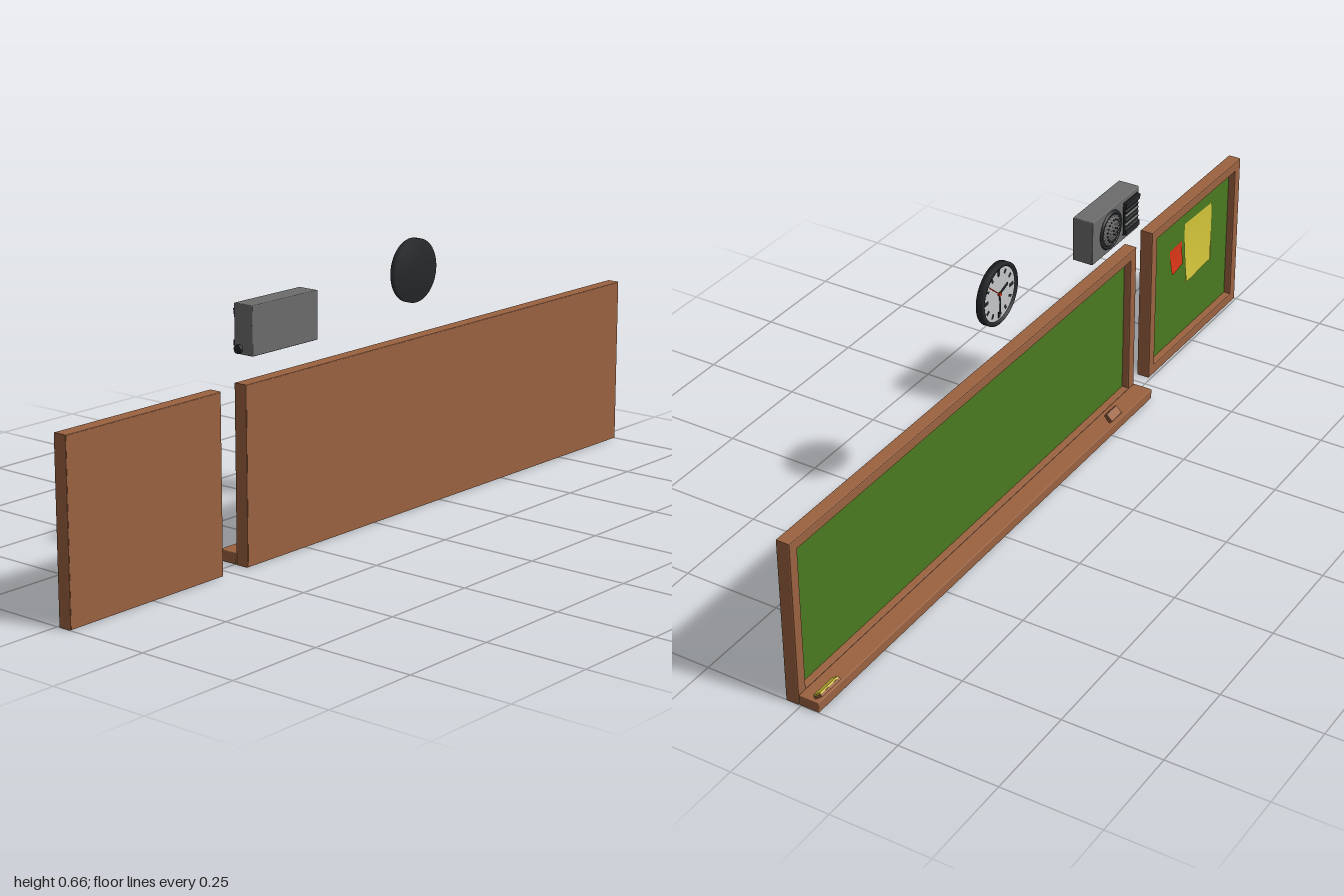
import * as THREE from 'three';
import { RoundedBoxGeometry } from 'three/addons/geometries/RoundedBoxGeometry.js';

const mat = (name, color, side = THREE.FrontSide) => {
  const m = new THREE.MeshStandardMaterial({ color, side });
  m.name = name;
  return m;
};

export function createModel() {
  const wood = mat('wood', 0x9a6240);
  const green = mat('boardGreen', 0x4a7a20);
  const grey = mat('caseGrey', 0x6c6c6c);
  const dark = mat('darkPlastic', 0x26282a);
  const pale = mat('paleFace', 0xc4c6c8);
  const red = mat('red', 0xd83516, THREE.DoubleSide);
  const yellow = mat('paperYellow', 0xd2c43a, THREE.DoubleSide);

  const model = new THREE.Group();
  const add = (parent, name, geometry, material, x = 0, y = 0, z = 0) => {
    const mesh = new THREE.Mesh(geometry, material);
    mesh.name = name;
    mesh.position.set(x, y, z);
    parent.add(mesh);
    return mesh;
  };
  const group = (name, x = 0, y = 0, z = 0) => {
    const g = new THREE.Group();
    g.name = name;
    g.position.set(x, y, z);
    model.add(g);
    return g;
  };
  const box = (w, h, d) => new THREE.BoxGeometry(w, h, d);
  const disc = (r, d, n = 40) => new THREE.CylinderGeometry(r, r, d, n).rotateX(Math.PI / 2);

  // Framed boards; the writing side faces -z
  const H = 0.424, BORDER = 0.027;
  function board(name, x0, x1) {
    const w = x1 - x0, g = group(name, (x0 + x1) / 2, H / 2, 0);
    const rect = (P, hw, hh) => new P([[-hw, -hh], [hw, -hh], [hw, hh], [-hw, hh]].map(p => new THREE.Vector2(...p)));
    const shape = rect(THREE.Shape, w / 2, H / 2);
    shape.holes.push(rect(THREE.Path, w / 2 - BORDER, H / 2 - BORDER));
    const b = 0.003;
    const frame = new THREE.ExtrudeGeometry(shape, {
      depth: 0.035 - 2 * b, bevelThickness: b, bevelSize: b, bevelOffset: -b, bevelSegments: 2,
    });
    add(g, 'frame', frame, wood, 0, 0, 0.005 + b);
    add(g, 'backing', box(w - 0.004, H - 0.004, 0.01), wood, 0, 0, 0.0352);
    add(g, 'writingSurface', box(w - 2 * BORDER, H - 2 * BORDER, 0.006), green, 0, 0, 0.027);
    return g;
  }
  board('largeBoard', -0.45, 1);
  board('noticeBoard', -1, -0.53);

  // Ledge under the large board
  add(model, 'tray', new RoundedBoxGeometry(1.45, 0.027, 0.052, 2, 0.002), wood, 0.275, 0.0135, -0.021);

  // Tilted erasers resting on the ledge
  function eraser(name, x, z, width, tilt, pad) {
    const g = group(name, x, 0.0375, z);
    g.rotation.x = tilt;
    add(g, 'eraserBlock', box(width, 0.006, 0.024), wood, 0, -0.002, 0);
    add(g, 'eraserPad', box(width * 0.96, 0.004, 0.022), pad, 0, 0.003, 0);
  }
  eraser('leftEraser', 0.957, -0.039, 0.07, 0.65, yellow);
  eraser('rightEraser', -0.285, -0.029, 0.05, -0.8, wood);

  // Pinned papers with gently curled lower edges
  function paper(name, material, x, y, w, h, curl, tilt) {
    const geo = new THREE.PlaneGeometry(w, h, 6, 8).rotateY(Math.PI);
    const p = geo.attributes.position;
    for (let i = 0; i < p.count; i++) {
      const t = 0.5 - p.getY(i) / h;
      p.setZ(i, -curl * t * t * (1 + 0.5 * Math.sin(p.getX(i) / w * 3)));
    }
    geo.computeVertexNormals();
    add(model, name, geo, material, x, y, 0.0225).rotation.z = tilt;
  }
  paper('yellowPaper', yellow, -0.802, 0.265, 0.142, 0.165, 0.008, 0.03);
  paper('yellowPaperUnderlay', yellow, -0.81, 0.257, 0.14, 0.16, 0.002, -0.02);
  paper('redNote', red, -0.69, 0.272, 0.064, 0.068, 0.005, -0.03);

  // Wall clock
  const clock = group('clock', 0.15, 0.587, 0.031);
  clock.rotation.y = Math.PI;
  const rim = [[0, -0.009], [0.077, -0.009], [0.077, 0.007], [0.074, 0.009], [0.068, 0.009], [0.066, 0.003], [0, 0.003]]
    .map(p => new THREE.Vector2(...p));
  const rimGeo = new THREE.LatheGeometry(rim, 48).rotateX(Math.PI / 2);
  add(clock, 'clockCase', rimGeo, dark);
  add(clock, 'clockFace', disc(0.066, 0.002, 48), pale, 0, 0, 0.003);
  for (let i = 0; i < 12; i++) {
    const a = i * Math.PI / 6, big = i % 3 === 0;
    add(clock, 'hourMark', box(big ? 0.008 : 0.006, big ? 0.016 : 0.011, 0.001), dark,
      Math.sin(a) * 0.054, Math.cos(a) * 0.054, 0.0044).rotation.z = -a;
  }
  const hand = (name, length, width, angle, z, material) =>
    add(clock, name, box(width, length, 0.001).translate(0, length * 0.4, 0), material, 0, 0, z).rotation.z = -angle;
  hand('hourHand', 0.042, 0.007, 1.25, 0.0055, dark);
  hand('minuteHand', 0.06, 0.005, 3.1, 0.0065, dark);
  hand('secondHand', 0.065, 0.0025, -0.85, 0.0075, red);
  add(clock, 'handHub', disc(0.005, 0.006, 16), red, 0, 0, 0.006);

  // Wall speaker: local +z is its front
  const speaker = group('speakerBox', -0.33, 0.545, 0.025);
  speaker.rotation.y = Math.PI;
  const FRONT = 0.0275;
  add(speaker, 'case', new RoundedBoxGeometry(0.22, 0.115, 0.055, 2, 0.002), grey);
  const cone = new THREE.Group();
  cone.name = 'speakerCone';
  cone.position.set(-0.025, 0, FRONT);
  speaker.add(cone);
  add(cone, 'speakerRim', new THREE.TorusGeometry(0.045, 0.005, 8, 40), dark);
  add(cone, 'speakerPlate', disc(0.045, 0.004), dark, 0, 0, 0.001);
  const domeZ = r => 0.014 * (1 - (r / 0.042) ** 2);
  const dome = [];
  for (let i = 0; i <= 6; i++) dome.push(new THREE.Vector2(0.042 * (1 - i / 6), domeZ(0.042 * (1 - i / 6))));
  add(cone, 'speakerDome', new THREE.LatheGeometry(dome, 32).rotateX(Math.PI / 2), grey);
  // Rings of pale perforations over the dome
  for (let ring = 0; ring < 5; ring++) {
    const r = ring * 0.0092, n = Math.max(1, ring * 6);
    for (let i = 0; i < n; i++) {
      const a = (i + ring * 0.5) / n * Math.PI * 2;
      add(cone, 'grilleDot', new THREE.SphereGeometry(0.0024, 8, 6), ring % 2 ? dark : pale,
        Math.cos(a) * r, Math.sin(a) * r, domeZ(r) + 0.0005);
    }
  }

  // Louvred panel, its end caps and the side knob
  add(speaker, 'louvrePanel', box(0.068, 0.088, 0.004), dark, 0.069, 0, FRONT + 0.001);
  for (let i = 0; i < 6; i++) {
    add(speaker, 'louvre', box(0.062, 0.005, 0.005), i % 2 ? grey : dark, 0.069, -0.03 + i * 0.012, FRONT + 0.004)
      .rotation.x = 0.5;
  }
  for (const s of [-1, 1]) add(speaker, 'panelCap', box(0.066, 0.013, 0.01), dark, 0.069, s * 0.036, FRONT + 0.004);
  add(speaker, 'sideKnob', new THREE.CylinderGeometry(0.01, 0.01, 0.012, 20).rotateZ(Math.PI / 2), dark, 0.112, -0.045, 0.012);

  return model;
}
